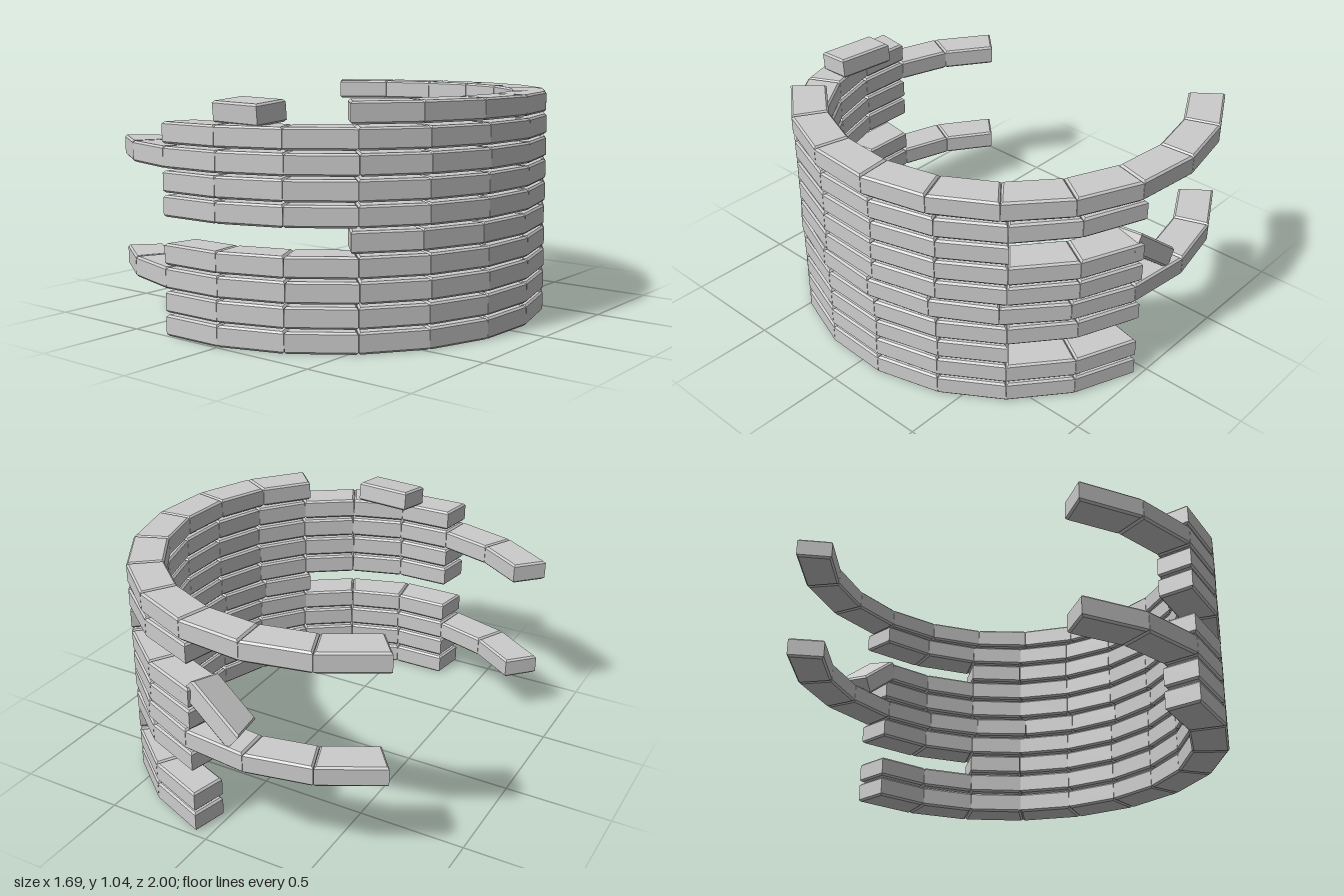
import * as THREE from 'three';

const rad = THREE.MathUtils.degToRad;
const STEP = 17.55;          // degrees covered by one block
const R_OUT = 0.993;         // distance of the outer face from the ring axis
const DEPTH = 0.165;         // radial thickness
const HEIGHT = 0.094;
const PITCH = 0.105;         // vertical distance between courses
const CENTRE_X = -0.16;
const BEVEL = 0.009;

// Bevelled block centred at its origin: outer face at +x, length along z
function blockGeometry(innerLength, outerLength) {
  const d = DEPTH / 2, i = innerLength / 2, o = outerLength / 2;
  const shape = new THREE.Shape([
    new THREE.Vector2(-d, -i), new THREE.Vector2(d, -o),
    new THREE.Vector2(d, o), new THREE.Vector2(-d, i),
  ]);
  const geometry = new THREE.ExtrudeGeometry(shape, {
    depth: HEIGHT - 2 * BEVEL, bevelEnabled: true, bevelSegments: 1,
    bevelSize: BEVEL, bevelThickness: BEVEL, bevelOffset: -BEVEL,
  });
  geometry.translate(0, 0, -(HEIGHT - 2 * BEVEL) / 2);
  geometry.rotateX(Math.PI / 2);
  return geometry;
}

export function createModel() {
  const model = new THREE.Group();
  model.name = 'curvedBlockWall';
  const material = new THREE.MeshStandardMaterial({ color: 0xcccccc, flatShading: true });

  const chord = (r) => 2 * r * Math.tan(rad(STEP / 2));
  const wedge = blockGeometry(chord(R_OUT - DEPTH) - 0.002, chord(R_OUT) - 0.002);
  const loose = blockGeometry(0.275, 0.285);

  // Courses of ten blocks, each given by its starting angle (from +x towards +z)
  const starts = [98.5, 98.5, 133.3, 98.5, 47.7, 98.5, 98.5, 133.3, 98.5, 47.7];
  const r = R_OUT - DEPTH / 2;
  starts.forEach((start, level) => {
    const course = new THREE.Group();
    course.name = `course${level + 1}`;
    course.position.set(CENTRE_X, level * PITCH + HEIGHT / 2, 0.003);
    for (let k = 0; k < 10; k++) {
      const a = rad(start - (k + 0.5) * STEP);
      const block = new THREE.Mesh(wedge, material);
      block.name = 'block';
      block.position.set(r * Math.cos(a), 0, r * Math.sin(a));
      block.rotation.y = -a;
      course.add(block);
    }
    model.add(course);
  });

  // Loose block lying on top of the front end
  const topBlock = new THREE.Mesh(loose, material);
  topBlock.name = 'looseTopBlock';
  topBlock.position.set(0.037, 0.983, 0.82);
  topBlock.rotation.set(rad(5), rad(-96.5), 0);
  model.add(topBlock);

  // Fallen block leaning against the back ends of the middle courses
  const leaning = new THREE.Mesh(wedge, material);
  leaning.name = 'leaningBlock';
  leaning.position.set(-0.03, 0.62, -0.885);
  leaning.rotation.set(rad(6), rad(90), rad(39), 'XZY');
  model.add(leaning);

  return model;
}
